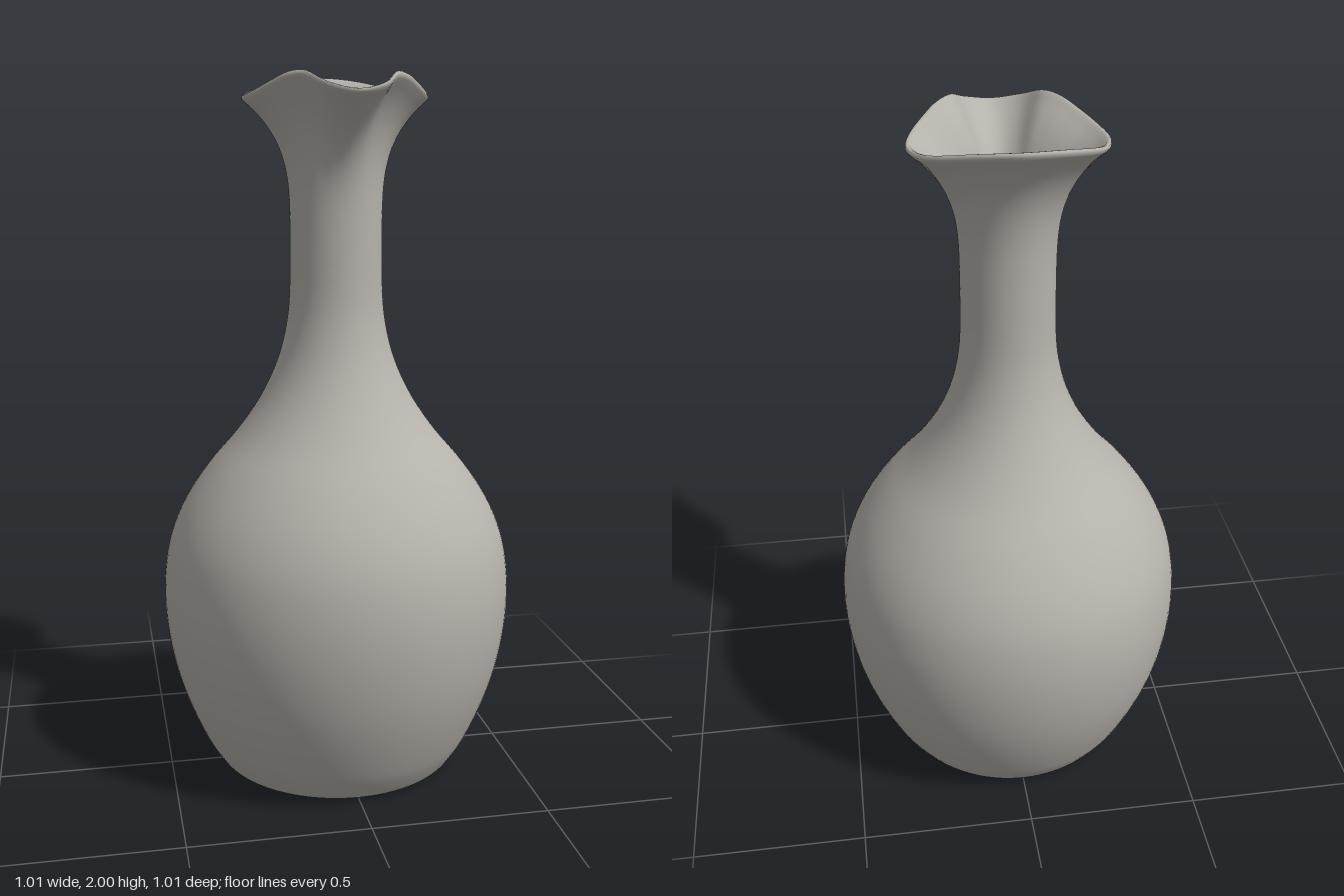
import * as THREE from 'three';
import { mergeVertices } from 'three/addons/utils/BufferGeometryUtils.js';

const FLARE_START = 1.55, RIM_Y = 1.94, RIM_R = 0.26;

// Rim radius and height every 15 degrees, from the front spout round to the back
const rimRadius = [0.315, 0.295, 0.246, 0.233, 0.236, 0.25, 0.26, 0.261, 0.262, 0.259, 0.26, 0.268, 0.273];
const rimHeight = [1.945, 1.962, 1.993, 1.992, 1.972, 1.95, 1.94, 1.944, 1.955, 1.97, 1.985, 1.996, 2.0];

// Smooth lookup, mirrored left to right
function sample(table, angle) {
  const last = table.length - 1;
  const at = (i) => table[i < 0 ? -i : i > last ? 2 * last - i : i];
  const u = (Math.abs(angle) / Math.PI) * last;
  const i = Math.min(Math.floor(u), last - 1), f = u - i;
  const a = at(i - 1), b = at(i), c = at(i + 1), d = at(i + 2);
  return b + 0.5 * f * (c - a + f * (2 * a - 5 * b + 4 * c - d + f * (3 * (b - c) + d - a)));
}

const vectors = (pairs) => pairs.map(([r, y]) => new THREE.Vector2(r, y));
const smooth = (pairs, n) => new THREE.SplineCurve(vectors(pairs)).getPoints(n);

// Flaring neck wall from the neck radius to the rim radius
function flare(r0, r1, top, n) {
  return Array.from({ length: n }, (_, k) => {
    const t = (k + 1) / n;
    return [r0 + (r1 - r0) * Math.pow(t, 3.6), FLARE_START + (top - FLARE_START) * t];
  });
}

function vaseGeometry() {
  const base = vectors([[0, 0.004], [0.15, 0.004], [0.28, 0.003], [0.305, 0]]);
  const outer = smooth([
    [0.32, 0], [0.345, 0.012], [0.37, 0.045], [0.402, 0.1], [0.445, 0.2], [0.477, 0.3],
    [0.497, 0.4], [0.506, 0.5], [0.502, 0.6], [0.482, 0.7], [0.438, 0.8], [0.37, 0.9],
    [0.285, 1.0], [0.217, 1.1], [0.17, 1.2], [0.143, 1.3], [0.132, 1.4], [0.13, FLARE_START],
  ], 70);
  const lipOuter = vectors(flare(0.13, 0.254, 1.922, 20));
  const rim = vectors([[0.26, 1.93], [0.259, 1.937], [0.254, RIM_Y], [0.247, 1.938]]);
  const lipInner = vectors(flare(0.105, 0.24, 1.93, 20).reverse());
  const inner = smooth([
    [0.105, FLARE_START], [0.107, 1.4], [0.118, 1.3], [0.145, 1.2], [0.19, 1.1], [0.255, 1.0],
    [0.34, 0.9], [0.408, 0.8], [0.472, 0.6], [0.476, 0.5], [0.447, 0.3], [0.412, 0.2],
    [0.36, 0.08], [0.3, 0.04], [0.15, 0.03], [0, 0.03],
  ], 50);
  const lathe = new THREE.LatheGeometry(
    [...base, ...outer, ...lipOuter, ...rim, ...lipInner, ...inner], 96);

  // Pull the lip into its wavy, pointed outline
  const p = lathe.attributes.position;
  for (let i = 0; i < p.count; i++) {
    const y = p.getY(i);
    if (y <= FLARE_START) continue;
    const x = p.getX(i), z = p.getZ(i), r = Math.hypot(x, z), angle = Math.atan2(x, z);
    const t = (y - FLARE_START) / (RIM_Y - FLARE_START);
    const scale = (r + Math.pow(t, 3.6) * (sample(rimRadius, angle) - RIM_R)) / r;
    p.setXYZ(i, x * scale, FLARE_START + t * (sample(rimHeight, angle) - FLARE_START), z * scale);
  }

  // Weld the seam so the shading stays continuous
  lathe.deleteAttribute('uv');
  lathe.deleteAttribute('normal');
  const welded = mergeVertices(lathe, 1e-5);
  welded.computeVertexNormals();
  return welded;
}

export function createModel() {
  const group = new THREE.Group();
  group.name = 'vase';
  const clay = new THREE.MeshStandardMaterial({ color: 0xb6b2ab });
  clay.name = 'warm grey clay';
  const body = new THREE.Mesh(vaseGeometry(), clay);
  body.name = 'vaseBody';
  group.add(body);
  return group;
}
